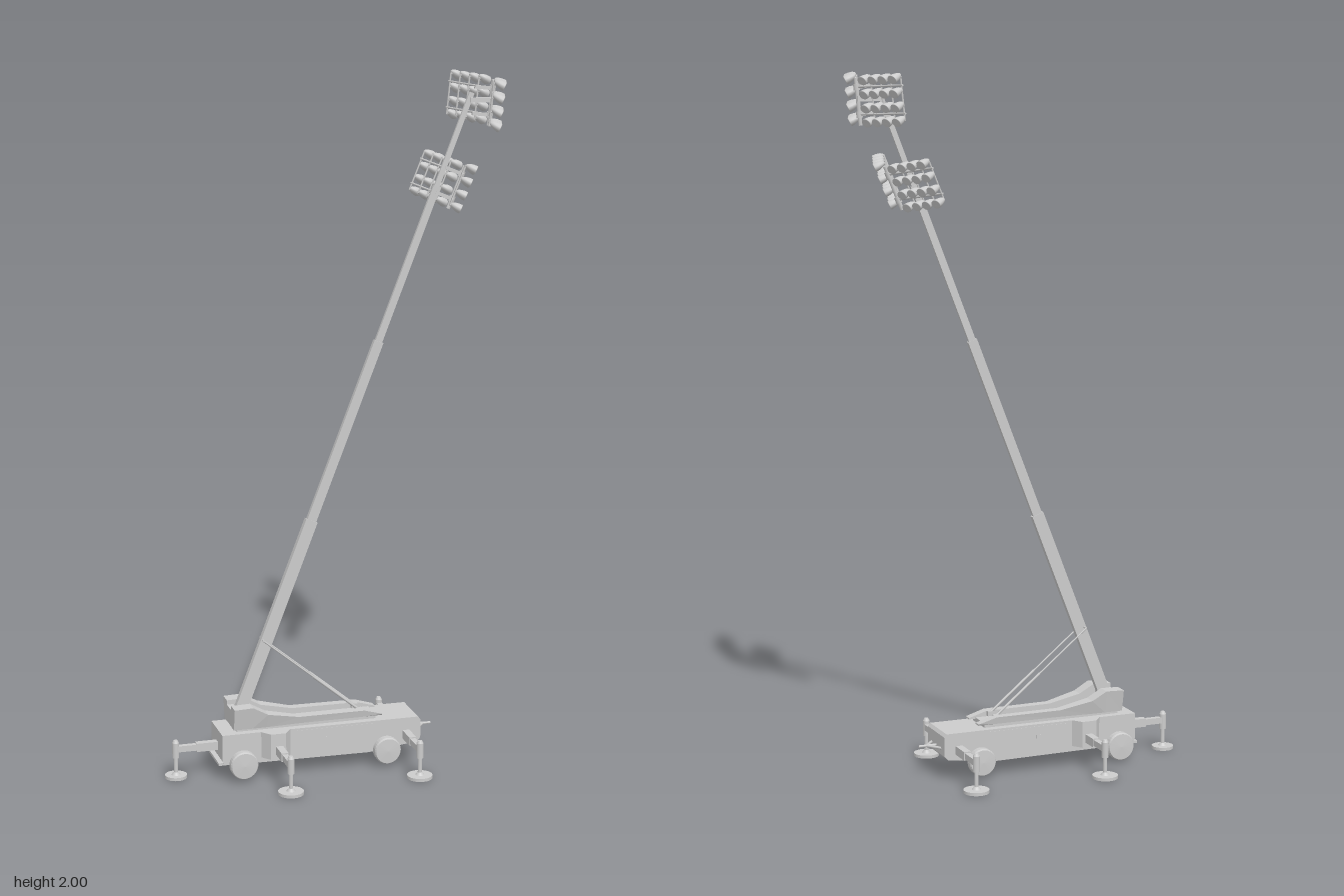
import * as THREE from 'three';

const mat = new THREE.MeshStandardMaterial({ color: 0xcccccc, side: THREE.DoubleSide });
const flat = new THREE.MeshStandardMaterial({ color: 0xcccccc, flatShading: true, side: THREE.DoubleSide });
const V = (x, y, z) => new THREE.Vector3(x, y, z);
const UP = V(0, 1, 0);

function add(parent, geometry, name, x = 0, y = 0, z = 0, material = mat) {
  const m = new THREE.Mesh(geometry, material);
  m.name = name;
  m.position.set(x, y, z);
  parent.add(m);
  return m;
}
const box = (p, name, w, h, d, x, y, z) => add(p, new THREE.BoxGeometry(w, h, d), name, x, y, z);
const disc = (p, name, r1, r2, h, x, y, z) => add(p, new THREE.CylinderGeometry(r1, r2, h, 24), name, x, y, z);
const lathe = (points, sides) => new THREE.LatheGeometry(points.map(q => new THREE.Vector2(...q)), sides);

// Round bar between two points
function rod(p, name, a, b, r, sides = 8) {
  const d = b.clone().sub(a);
  const mid = a.clone().add(b).multiplyScalar(0.5);
  const m = add(p, new THREE.CylinderGeometry(r, r, d.length(), sides), name, mid.x, mid.y, mid.z);
  m.quaternion.setFromUnitVectors(UP, d.normalize());
  return m;
}

// Side profile [x, y] extruded symmetrically across z
function sideExtrude(points, width) {
  const g = new THREE.ExtrudeGeometry(new THREE.Shape(points.map(p => new THREE.Vector2(...p))), { depth: width, bevelEnabled: false });
  return g.translate(0, 0, -width / 2);
}

// Solid lofted through four-cornered sections, each a list of [x, y, z]
function loft(sections) {
  const pos = sections.flat(2), idx = [], n = sections.length;
  for (let i = 0; i < n - 1; i++)
    for (let j = 0; j < 4; j++) {
      const a = i * 4 + j, b = i * 4 + (j + 1) % 4;
      idx.push(a, b, a + 4, b, b + 4, a + 4);
    }
  const e = (n - 1) * 4;
  idx.push(0, 2, 1, 0, 3, 2, e, e + 1, e + 2, e, e + 2, e + 3);
  const g = new THREE.BufferGeometry();
  g.setAttribute('position', new THREE.Float32BufferAttribute(pos, 3));
  g.setIndex(idx);
  g.computeVertexNormals();
  return g;
}

function wheel(p, x, z, r) {
  const w = add(p, lathe([[0, -0.014], [r - 0.003, -0.014], [r, -0.01], [r, 0.008], [r - 0.003, 0.013], [0, 0.015]], 32),
    'wheel', x, 0.05, z, flat);
  w.rotation.x = Math.sign(z) * Math.PI / 2;
}

// Telescopic stabiliser reaching out along local +x, foot at the given reach
function outrigger(p, x, z, turn, start, reach, padRadius) {
  const g = new THREE.Group();
  g.name = 'outrigger';
  g.position.set(x, 0, z);
  g.rotation.y = turn;
  p.add(g);
  const half = start + (reach - start) * 0.5;
  box(g, 'outerBeam', half - start + 0.04, 0.025, 0.021, (half + start - 0.04) / 2, 0.087, 0);
  box(g, 'innerBeam', reach - half, 0.018, 0.016, (half + reach) / 2, 0.087, 0);
  disc(g, 'jackSleeve', 0.01, 0.01, 0.045, reach, 0.083, 0);
  disc(g, 'jackCap', 0.006, 0.01, 0.008, reach, 0.109, 0);
  disc(g, 'jackRod', 0.006, 0.006, 0.052, reach, 0.036, 0);
  disc(g, 'footCollar', 0.007, 0.013, 0.008, reach, 0.013, 0);
  disc(g, 'footPad', padRadius, padRadius, 0.009, reach, 0.0045, 0);
}

// Squat oval lamp bowl facing +z
const bowl = lathe([[0, 0.012], [0.017, 0.013], [0.018, 0.011], [0.0165, 0], [0.012, -0.011], [0.006, -0.018], [0, -0.019]], 14)
  .rotateX(Math.PI / 2).scale(1, 0.72, 1);

// Swept rack of lamps, two wings of four by four
function lampRack(p, x, y, tilt) {
  const g = new THREE.Group();
  g.name = 'lampRack';
  g.position.set(x, y, 0);
  g.rotation.z = tilt;
  p.add(g);
  rod(g, 'rackPost', V(0, -0.07, 0), V(0, 0.06, 0), 0.006);
  for (const h of [-0.04, 0.035]) {
    disc(g, 'postClamp', 0.009, 0.009, 0.018, 0, h, 0);
    box(g, 'rackBracket', 0.055, 0.01, 0.008, -0.026, h, 0);
  }
  for (const s of [-1, 1]) {
    const at = (z, h) => V(-0.36 * z, h, s * z);
    for (const h of [-0.04, 0.035]) rod(g, 'rackBar', at(0, h), at(0.185, h), 0.003, 6);
    for (const z of [0.06, 0.1, 0.14, 0.18]) {
      rod(g, 'lampUpright', at(z, -0.06), at(z, 0.06), 0.0025, 6);
      for (let r = 0; r < 4; r++) {
        const base = at(z, (r - 1.5) * 0.038);
        const c = base.clone().add(V(0.018, 0, s * 0.006));
        const lamp = add(g, bowl, 'lamp', c.x, c.y, c.z);
        lamp.rotation.set(0.5 + tilt, Math.PI / 2 - s * 0.3, 0, 'YXZ');
        rod(g, 'lampYoke', base, c, 0.004, 6);
      }
    }
  }
}

export function createModel() {
  const model = new THREE.Group();
  model.name = 'mobileLightTower';
  const body = new THREE.Group();
  body.name = 'trailer';
  body.position.z = -0.004;
  model.add(body);

  // Chassis with chamfered lower ends
  add(body, sideExtrude([[-0.342, 0.06], [-0.335, 0.047], [-0.23, 0.045], [0.1, 0.042], [0.2, 0.055], [0.245, 0.06], [0.257, 0.072],
    [0.257, 0.128], [0.25, 0.137], [-0.342, 0.137]], 0.134), 'chassis');
  box(body, 'rearStep', 0.02, 0.008, 0.12, -0.342, 0.048, 0);
  for (const s of [-1, 1]) {
    // Flared housing around the rear outrigger
    const outline = [[-0.232, 0.06], [-0.205, 0.096], [-0.16, 0.096], [-0.135, 0.06]];
    const shape = new THREE.Shape(outline.map(([x, z]) => new THREE.Vector2(x, -s * z)));
    const housing = add(body, new THREE.ExtrudeGeometry(shape, { depth: 0.077, bevelEnabled: false }), 'outriggerHousing', 0, 0.06, 0);
    housing.rotation.x = -Math.PI / 2;
    box(body, 'sidePanel', 0.24, 0.075, 0.004, 0, 0.093, s * 0.066);
    for (const x of [-0.04, -0.03]) box(body, 'panelLatch', 0.004, 0.01, 0.003, x, 0.1, s * 0.0675);
    wheel(body, -0.284, s * 0.087, 0.041);
    wheel(body, 0.149, s * 0.084, 0.04);
    rod(body, 'drawbar', V(0.25, 0.09, s * 0.045), V(0.286, 0.09, 0), 0.004);
    outrigger(model, -0.18, 0, -s * Math.PI / 2, 0.09, 0.215, 0.037);
    outrigger(model, 0.212, -0.004, -s * Math.PI / 2, 0.065, 0.2, 0.037);
  }
  for (const x of [-0.284, 0.149]) rod(body, 'axle', V(x, 0.05, -0.085), V(x, 0.05, 0.085), 0.008);
  rod(body, 'towBar', V(0.25, 0.09, 0), V(0.31, 0.09, 0), 0.004);
  outrigger(model, -0.3, -0.004, Math.PI, 0.045, 0.165, 0.032);

  // Upper housing: two flared side covers with a mast channel between
  box(body, 'slewBase', 0.42, 0.014, 0.09, -0.085, 0.143, 0);
  const cover = [[-0.305, 0.21, 0.068], [-0.25, 0.212, 0.068], [-0.205, 0.187, 0.066], [-0.11, 0.167, 0.054], [0.09, 0.166, 0.052], [0.145, 0.15, 0.05]];
  for (const s of [-1, 1])
    add(body, loft(cover.map(([x, y, z]) => [[x, 0.146, s * 0.026], [x, y, s * 0.026], [x, y, s * z], [x, 0.146, s * (z * 0.5 + 0.022)]])),
      'sideCover', 0, 0, 0, flat);
  box(body, 'channelBackWall', 0.02, 0.05, 0.054, -0.295, 0.172, 0);
  rod(body, 'mastPivot', V(-0.265, 0.19, -0.035), V(-0.265, 0.19, 0.035), 0.01, 16);

  // Telescopic mast leaning forward: [start, end, depth, width]
  const mast = new THREE.Group();
  mast.name = 'mast';
  mast.position.set(-0.268, 0.2, -0.002);
  mast.rotation.z = -0.372;
  model.add(mast);
  for (const [a, b, d, w] of [[-0.03, 0.58, 0.036, 0.018], [0.58, 1.13, 0.028, 0.014], [1.13, 1.6, 0.021, 0.01], [1.6, 1.88, 0.015, 0.008]])
    box(mast, 'mastSection', d, b - a, w, 0, (a + b) / 2, 0);

  // Lifting struts pinned through the lowest mast section
  const z0 = 0.021;
  rod(body, 'strutPin', V(-0.205, 0.395, -z0), V(-0.205, 0.395, z0), 0.003);
  for (const s of [-1, 1]) {
    const top = V(-0.205, 0.395, s * z0), foot = V(0.08, 0.162, s * z0);
    const mid = foot.clone().lerp(top, 0.48);
    rod(body, 'strutRod', mid, top, 0.0025);
    rod(body, 'strutCylinder', foot, mid, 0.004);
    box(body, 'strutFoot', 0.02, 0.014, 0.01, 0.08, 0.159, s * z0);
  }

  lampRack(model, 0.374, 1.69, -0.39);
  lampRack(model, 0.473, 1.927, -0.1);
  box(model, 'mastHead', 0.065, 0.014, 0.012, 0.443, 1.93, 0);
  return model;
}
